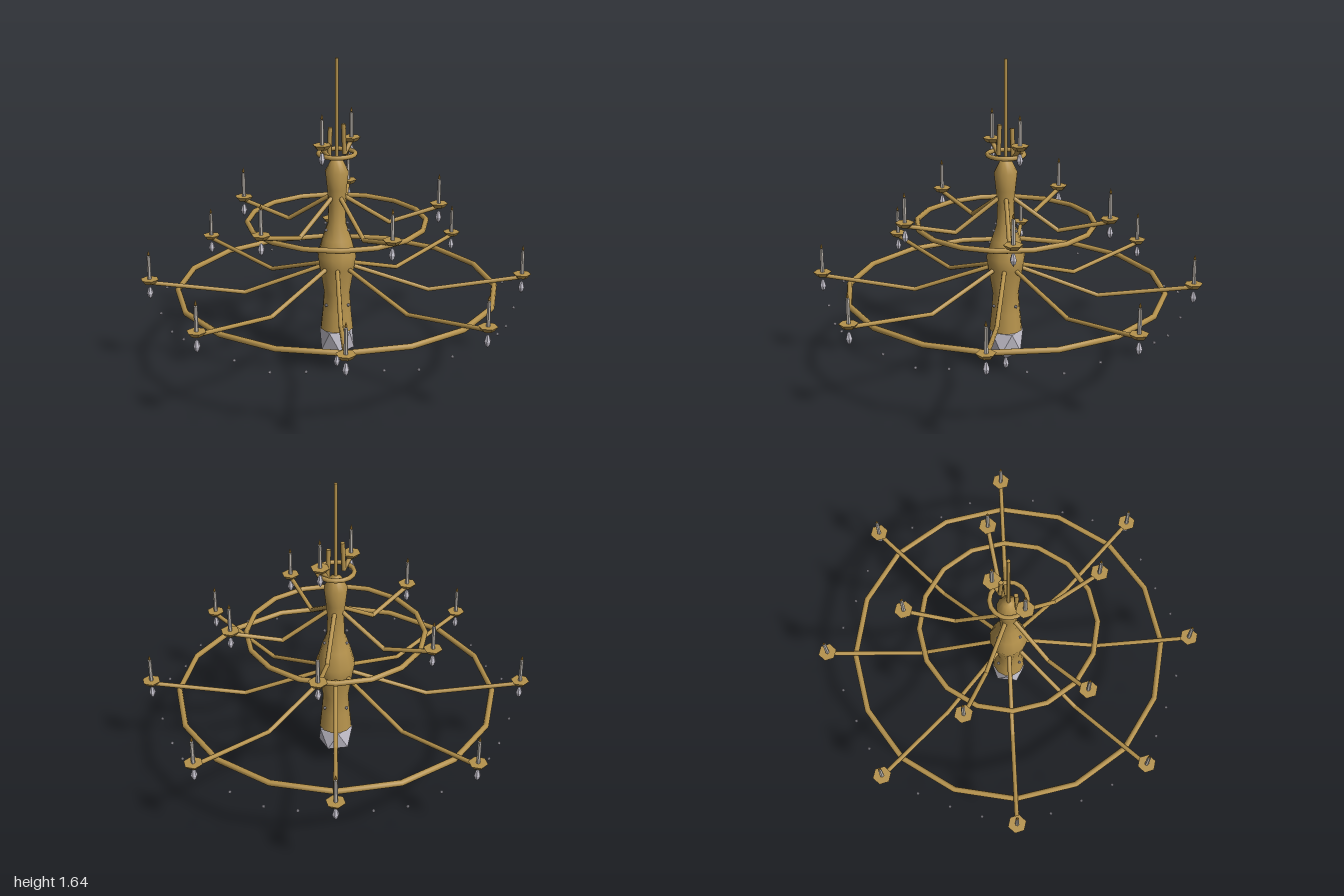
import * as THREE from 'three';

const mat = (name, color, flatShading = false) => {
  const m = new THREE.MeshStandardMaterial({ color, flatShading });
  m.name = name;
  return m;
};

export function createModel() {
  const brass = mat('brass', 0xb5924c);
  const wax = mat('candle wax', 0xb9b3ac, true);
  const crystal = mat('crystal', 0xc4c1cc, true);
  const fire = mat('flame amber', 0xb98a35, true);
  const facetBrass = brass.clone();
  facetBrass.flatShading = true;

  const model = new THREE.Group();
  model.name = 'chandelier';
  const add = (parent, name, geo, material, x = 0, y = 0, z = 0) => {
    const m = new THREE.Mesh(geo, material);
    m.name = name;
    m.position.set(x, y, z);
    parent.add(m);
    return m;
  };
  const lathe = (pts, n) => new THREE.LatheGeometry(pts.map(p => new THREE.Vector2(...p)), n);

  // Straight round bar between two points in the local xy plane
  const bar = (parent, [x0, y0], [x1, y1], r) => {
    const a = new THREE.Vector3(x0, y0, 0), b = new THREE.Vector3(x1, y1, 0);
    const d = b.clone().sub(a);
    const m = add(parent, 'armBar', new THREE.CylinderGeometry(r, r, d.length() + r * 0.5, 8), brass);
    m.position.copy(a).add(b).multiplyScalar(0.5);
    m.quaternion.setFromUnitVectors(new THREE.Vector3(0, 1, 0), d.normalize());
  };

  // Shared small parts
  const cupGeo = new THREE.CylinderGeometry(0.048, 0.03, 0.022, 6).rotateY(Math.PI / 6);
  const candleGeo = new THREE.CylinderGeometry(0.0095, 0.0105, 0.125, 6);
  const flameGeo = lathe([[0, 0], [0.007, 0.01], [0, 0.032]], 6);
  const dropGeo = lathe([[0, -0.068], [0.012, -0.052], [0.017, -0.035], [0.009, -0.008], [0, 0]], 6);
  const beadGeo = new THREE.IcosahedronGeometry(0.0085, 0);

  // Central stem, its base and the hanging rod
  add(model, 'stem', lathe([
    [0.085, 0.232], [0.075, 0.33], [0.067, 0.43], [0.09, 0.57], [0.1, 0.63],
    [0.075, 0.72], [0.047, 0.8], [0.043, 0.9], [0.05, 0.98], [0.06, 1.07],
    [0.03, 1.13], [0, 1.145]], 12), brass);
  add(model, 'stemBase', new THREE.CircleGeometry(0.085, 12).rotateX(Math.PI / 2), brass, 0, 0.232, 0);
  add(model, 'hangingRod', new THREE.CylinderGeometry(0.009, 0.009, 0.52, 8), brass, 0, 1.38, 0);

  // Large faceted crystal with a corner pointing down, and its pendant
  const gemGeo = new THREE.IcosahedronGeometry(0.1, 0);
  gemGeo.rotateX(-Math.atan((1 + Math.sqrt(5)) / 2));
  gemGeo.scale(1, 1.15, 1);
  add(model, 'baseCrystal', gemGeo, crystal, 0, 0.175, 0);
  add(model, 'basePendant', dropGeo, crystal, 0, 0.07, 0);

  // Beads set around the stem
  for (const [y, r] of [[0.375, 0.08], [0.78, 0.08]])
    for (let i = 0; i < 4; i++) {
      const a = i * Math.PI / 2;
      add(model, 'stemBead', beadGeo, crystal, r * Math.cos(a), y, r * Math.sin(a));
    }

  // Three tiers: ring, bent arms and candle holders
  const tiers = [
    { name: 'lowerTier', y: 0.45, ring: 0.81, tube: 0.015, count: 8, start: 0,
      path: [[0.05, 0.58], [0.47, 0.432], [0.952, 0.492]] },
    { name: 'middleTier', y: 0.81, ring: 0.45, tube: 0.014, count: 5, start: Math.PI,
      path: [[0.03, 0.945], [0.27, 0.787], [0.53, 0.852]] },
    { name: 'upperTier', y: 1.162, ring: 0.092, tube: 0.012, count: 2, start: 0,
      path: [[0.048, 1.3], [0.056, 1.15], [0.107, 1.208]] },
  ];
  for (const t of tiers) {
    const tier = new THREE.Group();
    tier.name = t.name;
    model.add(tier);
    add(tier, 'ring', new THREE.TorusGeometry(t.ring, t.tube, 8, 16).rotateX(Math.PI / 2), brass, 0, t.y, 0);
    const [r, y] = t.path[2];
    for (let i = 0; i < t.count; i++) {
      const a = t.start + i * 2 * Math.PI / t.count;
      const arm = new THREE.Group();
      arm.name = 'arm';
      arm.rotation.y = -a;
      tier.add(arm);
      bar(arm, t.path[0], t.path[1], 0.0115);
      bar(arm, t.path[1], t.path[2], 0.0115);

      const holder = new THREE.Group();
      holder.name = 'candleHolder';
      holder.position.set(r * Math.cos(a), y, r * Math.sin(a));
      tier.add(holder);
      add(holder, 'cup', cupGeo, facetBrass, 0, 0.008, 0);
      add(holder, 'candle', candleGeo, wax, 0, 0.08, 0);
      add(holder, 'flame', flameGeo, fire, 0, 0.141, 0);
      add(holder, 'pendant', dropGeo, crystal, 0, -0.022, 0);
    }
  }

  // Swags of three beads between neighbouring lower arms
  for (let i = 0; i < 32; i++) {
    if (i % 4 === 0) continue;
    const middle = i % 4 === 2, a = i * Math.PI / 16, r = middle ? 0.885 : 0.9;
    add(model, 'swagBead', beadGeo, crystal, r * Math.cos(a), middle ? 0.365 : 0.395, r * Math.sin(a));
  }
  return model;
}
